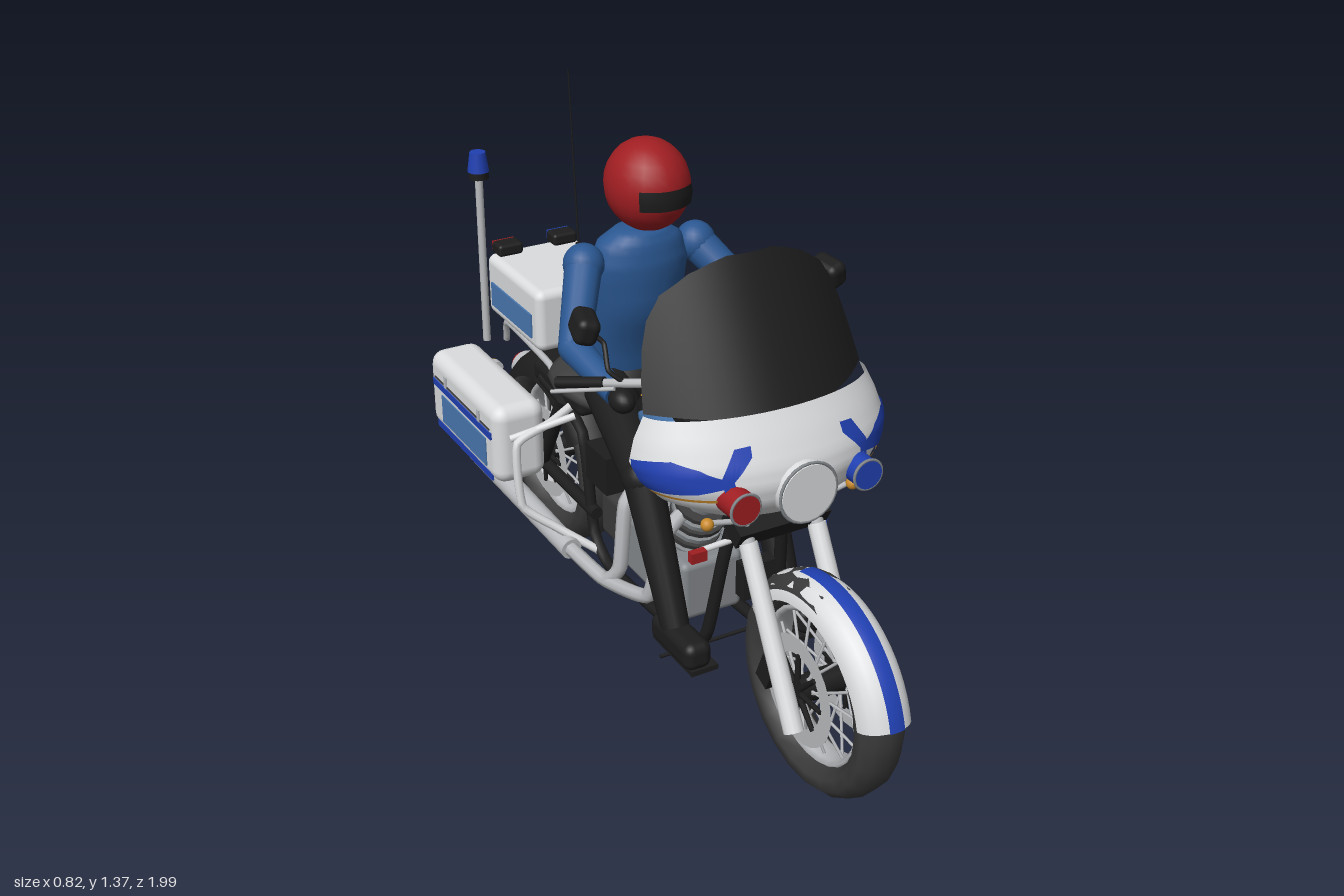
import * as THREE from 'three';
import { RoundedBoxGeometry } from 'three/addons/geometries/RoundedBoxGeometry.js';

const mat = (name, color) => new THREE.MeshStandardMaterial({ name, color, side: THREE.DoubleSide });
const white = mat('white paint', 0xdcdddf), black = mat('black', 0x1d1d1d), dark = mat('dark rubber', 0x3a3a3b);
const silver = mat('bright metal', 0xb9bbbe), grey = mat('engine metal', 0x85898d), red = mat('red', 0xa01e22);
const jacket = mat('jacket blue', 0x2a5791), panel = mat('panel blue', 0x4a78b0), blue = mat('signal blue', 0x2040b2);
const amber = mat('amber', 0xc98a2c);

const V = (p) => new THREE.Vector3(...p);
const mix = (a, b, t) => a + (b - a) * t;
const SIDES = [-1, 1];

// Interpolates between the rows of a small cross-section list
function rowAt(rows, t) {
  const f = Math.min(Math.max(t, 0), 1) * (rows.length - 1), i = Math.min(Math.floor(f), rows.length - 2);
  return rows[i].map((a, k) => mix(a, rows[i + 1][k], f - i));
}

// Surface from a rule fn(u, v) with u and v in 0..1
function grid(fn, nu, nv) {
  const pos = [], idx = [];
  for (let j = 0; j <= nv; j++) for (let i = 0; i <= nu; i++) pos.push(...fn(i / nu, j / nv));
  for (let j = 0; j < nv; j++) for (let i = 0; i < nu; i++) {
    const a = j * (nu + 1) + i, b = a + nu + 1;
    idx.push(a, a + 1, b, a + 1, b + 1, b);
  }
  const g = new THREE.BufferGeometry();
  g.setAttribute('position', new THREE.Float32BufferAttribute(pos, 3));
  g.setIndex(idx);
  g.computeVertexNormals();
  return g;
}

export function createModel() {
  const model = new THREE.Group();
  model.name = 'motorcycleWithRider';
  const add = (name, geo, m, p = [0, 0, 0], r = [0, 0, 0], parent = model) => {
    const o = new THREE.Mesh(geo, m);
    o.name = name; o.position.set(...p); o.rotation.set(...r);
    parent.add(o);
    return o;
  };
  const box = (name, m, size, p, r) => add(name, new THREE.BoxGeometry(...size), m, p, r);
  const soft = (name, m, size, p, rad = 0.02, r) => add(name, new RoundedBoxGeometry(...size, 3, rad), m, p, r);
  const ball = (name, m, p, rad, s = [1, 1, 1]) => {
    const o = add(name, new THREE.SphereGeometry(rad, 20, 14), m, p);
    o.scale.set(...s);
    return o;
  };
  const rod = (name, m, a, b, r1, r2 = r1, n = 12, parent = model) => {
    const A = V(a), B = V(b), d = B.clone().sub(A);
    const o = add(name, new THREE.CylinderGeometry(r2, r1, d.length(), n), m, A.clone().lerp(B, 0.5).toArray(), [0, 0, 0], parent);
    o.quaternion.setFromUnitVectors(new THREE.Vector3(0, 1, 0), d.normalize());
    return o;
  };
  const tube = (name, m, pts, r) => add(name, new THREE.TubeGeometry(
    new THREE.CatmullRomCurve3(pts.map(V), false, 'catmullrom', 0.25), pts.length * 6, r, 8), m);

  // Wheels, with brake discs on the listed sides
  function wheel(name, z, y, w, discSides) {
    const g = new THREE.Group();
    g.name = name; g.position.set(0, y, z);
    model.add(g);
    const turn = [0, Math.PI / 2, 0];
    add('tire', new THREE.TorusGeometry(0.236, 0.044, 10, 22), dark, [0, 0, 0], turn, g).scale.z = w / 0.044;
    add('rim', new THREE.TorusGeometry(0.193, 0.014, 8, 28), silver, [0, 0, 0], turn, g).scale.z = 2.6;
    rod('hub', black, [-0.07, 0, 0], [0.07, 0, 0], 0.035, 0.035, 14, g);
    for (let i = 0; i < 28; i++) {
      const a = i / 28 * Math.PI * 2, b = a + (i % 4 < 2 ? 0.35 : -0.35), x = i % 2 ? 0.05 : -0.05;
      rod('spoke', silver, [x, 0.03 * Math.sin(b), 0.03 * Math.cos(b)], [x * 0.2, 0.19 * Math.sin(a), 0.19 * Math.cos(a)], 0.004, 0.004, 5, g);
    }
    for (const s of discSides) {
      add('brakeDisc', new THREE.RingGeometry(0.095, 0.14, 28), silver, [s * 0.068, 0, 0], turn, g);
      for (let i = 0; i < 8; i++) {
        const a = i * Math.PI / 4;
        rod('discCarrier', black, [s * 0.07, 0.02 * Math.sin(a), 0.02 * Math.cos(a)], [s * 0.07, 0.1 * Math.sin(a), 0.1 * Math.cos(a)], 0.008, 0.006, 6, g);
      }
    }
  }
  wheel('frontWheel', 0.69, 0.29, 0.064, SIDES);
  wheel('rearWheel', -0.67, 0.285, 0.075, [-1]);

  // Fenders: arched bands swept around the wheels
  const fender = (z, y, R, w, drop, a0, a1, half = 1, off = 0) => grid((u, v) => {
    const t = (u * 2 - 1) * half * Math.PI / 2, a = mix(a0, a1, v) * Math.PI / 180;
    const r = R + off - drop * (1 - Math.cos(t));
    return [w * Math.sin(t), y + r * Math.sin(a), z + r * Math.cos(a)];
  }, 10, 22);
  add('frontFender', fender(0.7, 0.27, 0.3, 0.068, 0.06, 14, 150), white);
  add('frontFenderStripe', fender(0.7, 0.27, 0.3, 0.068, 0.06, 14, 108, 0.19, 0.004), blue);
  add('rearFender', fender(-0.67, 0.28, 0.3, 0.092, 0.07, 30, 186), black);

  // Front fork and steering
  for (const s of SIDES) {
    rod('forkLeg', white, [s * 0.095, 0.2, 0.72], [s * 0.095, 0.6, 0.5], 0.025, 0.023);
    rod('forkTube', silver, [s * 0.095, 0.58, 0.51], [s * 0.095, 0.88, 0.36], 0.018);
    box('brakeCaliper', black, [0.03, 0.08, 0.05], [s * 0.09, 0.3, 0.6], [0.4, 0, 0]);
    tube('handlebar', silver, [[s * 0.04, 0.86, 0.4], [s * 0.15, 0.95, 0.33], [s * 0.27, 0.95, 0.25], [s * 0.33, 0.93, 0.17]], 0.011);
    rod('grip', black, [s * 0.31, 0.94, 0.2], [s * 0.38, 0.91, 0.09], 0.014);
    rod('lever', silver, [s * 0.31, 0.945, 0.25], [s * 0.405, 0.9, 0.11], 0.005);
    tube('mirrorStalk', black, [[s * 0.28, 0.95, 0.24], [s * 0.31, 0.98, 0.22], [s * 0.3, 1.03, 0.18], [s * 0.33, 1.06, 0.16]], 0.006);
    soft('mirror', black, [0.058, 0.068, 0.09], [s * 0.335, 1.07, 0.152], 0.02, [0.15, s * 0.25, s * 0.25]);
  }
  box('forkYoke', black, [0.25, 0.05, 0.08], [0, 0.63, 0.47], [0.5, 0, 0]);
  rod('steeringHead', black, [0, 0.6, 0.47], [0, 0.88, 0.34], 0.035);

  // Fairing rows: height, half width, centre z, edge z
  const fairRows = [[0.675, 0.1, 0.5, 0.42], [0.69, 0.2, 0.545, 0.41], [0.735, 0.28, 0.58, 0.4], [0.785, 0.32, 0.59, 0.38],
    [0.83, 0.335, 0.58, 0.365], [0.885, 0.32, 0.55, 0.36], [0.94, 0.295, 0.515, 0.36]];
  const fairAt = (u, v, off = 0) => {
    const [y, w, zc, ze] = rowAt(fairRows, v), t = u * Math.PI / 2;
    return [(w + off) * Math.sin(t), y - 0.02 * v * u * u, ze + (zc - ze + off) * Math.cos(t) + off * 0.3];
  };
  add('fairing', grid((u, v) => fairAt(u * 2 - 1, v), 28, 18), white);
  add('fairingLining', grid((u, v) => fairAt(u * 2 - 1, v * 0.7, -0.01), 28, 14), black);
  const fairPatch = (name, m, u0, u1, lo, hi) => {
    for (const s of SIDES) add(name, grid((u, v) =>
      fairAt(s * mix(u0, u1, u), mix(rowAt(lo, u)[0], rowAt(hi, u)[0], v), 0.004), 16, 5), m);
  };
  fairPatch('fairingFlash', blue, 0.34, 0.97, [[0.56], [0.49], [0.46], [0.44]], [[0.6], [0.7], [0.75], [0.73], [0.7]]);
  fairPatch('fairingRay', blue, 0.24, 0.4, [[0.76], [0.5]], [[0.83], [0.82], [0.62]]);
  fairPatch('fairingPinstripe', amber, 0.4, 0.95, [[0.41], [0.41]], [[0.435], [0.435]]);
  box('dashboard', black, [0.4, 0.03, 0.1], [0, 0.88, 0.38], [0.2, 0, 0]);

  // Windshield rows: height, half width
  const glassRows = [[0.925, 0.295], [0.99, 0.285], [1.06, 0.27], [1.12, 0.25], [1.175, 0.215], [1.22, 0.15], [1.24, 0.1], [1.252, 0.06]];
  add('windshield', grid((u, v) => {
    const [y, w] = rowAt(glassRows, v), x = (u * 2 - 1) * w;
    return [x, y, 0.515 - (y - 0.925) * 0.56 - 0.155 * (x / 0.295) ** 2];
  }, 18, 21), black);

  // Lamps
  const lamp = (name, m, x, y, z, r) => {
    rod(name, m, [x, y, z - 0.08], [x, y, z], r, r * 0.95, 20);
    add(name + 'Bezel', new THREE.TorusGeometry(r, 0.004, 6, 24), grey, [x, y, z - 0.004]);
  };
  lamp('headlight', white, 0, 0.76, 0.608, 0.076);
  lamp('redLamp', red, -0.165, 0.76, 0.605, 0.038);
  lamp('blueLamp', blue, 0.165, 0.76, 0.605, 0.038);
  for (const s of SIDES) {
    rod('turnSignalArm', silver, [s * 0.1, 0.65, 0.48], [s * 0.2, 0.672, 0.48], 0.007);
    ball('turnSignal', amber, [s * 0.2, 0.674, 0.49], 0.016);
    box('strobe', s < 0 ? red : blue, [0.042, 0.028, 0.02], [s * 0.17, 0.53, 0.395]);
    rod('strobeArm', white, [s * 0.06, 0.54, 0.385], [s * 0.18, 0.53, 0.38], 0.008);
  }

  // Tank rows: z, centre height, half width, half height
  const tankRows = [[0.33, 0.78, 0.02, 0.015], [0.29, 0.78, 0.08, 0.045], [0.2, 0.765, 0.118, 0.068], [0.1, 0.745, 0.125, 0.076],
    [0, 0.715, 0.112, 0.07], [-0.08, 0.69, 0.08, 0.052], [-0.14, 0.67, 0.04, 0.03]];
  const tankAt = (a, t, off = 0) => {
    const [z, y, rx, ry] = rowAt(tankRows, t);
    return [(rx + off) * Math.cos(a), y + (ry + off) * Math.sin(a), z];
  };
  add('tank', grid((u, v) => tankAt(u * Math.PI * 2, v), 24, 18), black);
  add('tankTopStripe', grid((u, v) => tankAt(Math.PI / 2 + (u - 0.5) * 0.36, mix(0.22, 0.58, v), 0.004), 4, 10), silver);
  for (const s of SIDES) {
    const side = (a) => (s > 0 ? a : Math.PI - a);
    add('tankFlash', grid((u, v) => tankAt(side(mix(-0.4, 0.1, u) + 0.35 * Math.sin(v * Math.PI) * u), mix(0.26, 0.68, v), 0.004), 6, 14), panel);
    add('tankPinstripe', grid((u, v) => tankAt(side(mix(0.62, 0.7, u)), mix(0.3, 0.85, v), 0.004), 2, 14), amber);
    rod('fuelCap', silver, [s * 0.07, 0.81, 0.16], [s * 0.07, 0.826, 0.165], 0.024);
  }

  // Seat rows: z, centre height, half width, half height
  const seatRows = [[-0.08, 0.65, 0.05, 0.015], [-0.18, 0.625, 0.09, 0.035], [-0.29, 0.625, 0.14, 0.045], [-0.38, 0.637, 0.17, 0.055],
    [-0.44, 0.648, 0.16, 0.054], [-0.47, 0.657, 0.13, 0.04], [-0.48, 0.66, 0.02, 0.01]];
  add('seat', grid((u, v) => {
    const [z, y, rx, ry] = rowAt(seatRows, v), a = u * Math.PI * 2;
    return [rx * Math.cos(a), y + ry * Math.sin(a), z];
  }, 20, 18), dark);
  soft('rearSeatBase', black, [0.22, 0.06, 0.3], [0, 0.57, -0.5]);

  // Frame
  rod('backbone', black, [0, 0.76, 0.4], [0, 0.53, -0.3], 0.026);
  for (const s of SIDES) {
    tube('frameCradle', black, [[s * 0.03, 0.76, 0.4], [s * 0.08, 0.5, 0.37], [s * 0.1, 0.24, 0.32], [s * 0.1, 0.17, 0.22], [s * 0.1, 0.15, -0.2], [s * 0.1, 0.22, -0.3], [s * 0.1, 0.5, -0.36], [s * 0.1, 0.56, -0.6]], 0.016);
    rod('swingArm', black, [s * 0.1, 0.28, -0.28], [s * 0.1, 0.285, -0.7], 0.018);
    rod('shockAbsorber', black, [s * 0.11, 0.3, -0.6], [s * 0.11, 0.56, -0.45], 0.02);
    box('footboard', black, [0.075, 0.014, 0.2], [s * 0.15, 0.195, 0.3]);
    tube('crashBar', white, [[s * 0.1, 0.55, -0.42], [s * 0.18, 0.53, -0.39], [s * 0.28, 0.49, -0.39], [s * 0.28, 0.31, -0.37], [s * 0.2, 0.24, -0.33], [s * 0.1, 0.17, -0.26]], 0.012);
    rod('grabRail', white, [s * 0.12, 0.55, -0.36], [s * 0.29, 0.5, -0.41], 0.01);
  }
  rod('axlePeg', black, [-0.21, 0.185, 0.28], [0.21, 0.185, 0.28], 0.005);
  box('regulator', black, [0.09, 0.095, 0.04], [0, 0.415, 0.385]);
  rod('kickstand', black, [0.11, 0.17, 0.27], [0.155, 0.1, -0.16], 0.009);
  box('kickstandFoot', black, [0.03, 0.03, 0.04], [0.155, 0.095, -0.16]);

  // Engine: crankcase, primary cover and two finned cylinders
  soft('crankcase', grey, [0.18, 0.17, 0.36], [0, 0.27, 0]);
  soft('gearbox', dark, [0.16, 0.14, 0.2], [0, 0.28, -0.2]);
  for (const [z, r] of [[0.11, 0.055], [-0.15, 0.078]]) rod('primaryCoverEnd', grey, [0.08, 0.265, z], [0.135, 0.265, z], r, r * 0.92, 24);
  box('primaryCover', grey, [0.05, 0.12, 0.26], [0.105, 0.265, -0.02]);
  rod('clutchCover', grey, [0.13, 0.265, -0.14], [0.142, 0.265, -0.14], 0.05, 0.045, 20);
  for (const d of SIDES) {
    const at = (t) => [0, 0.33 + 0.2 * t, 0.02 + d * (0.02 + 0.1 * t)];
    rod('cylinder', grey, at(0), at(1), 0.05);
    for (let i = 0; i < 6; i++) rod('coolingFin', i % 2 ? dark : grey, at(0.2 + i * 0.12), at(0.26 + i * 0.12), 0.074, 0.074, 16);
    rod('cylinderHead', grey, at(0.95), at(1.1), 0.06);
    tube('exhaustHeader', silver, [[-0.05, 0.48, 0.02 + d * 0.1], [-0.13, 0.44, 0.05 + d * 0.1], [-0.15, 0.25, 0.03 + d * 0.08], [-0.17, 0.19, -0.1], [-0.18, 0.19, -0.3]], 0.02);
  }
  rod('airCleaner', black, [0.21, 0.413, -0.11], [0.21, 0.413, -0.03], 0.045, 0.045, 18);
  rod('airCleanerCap', silver, [0.05, 0.42, -0.07], [0.258, 0.42, -0.07], 0.05, 0.045, 20);
  box('batteryBox', black, [0.24, 0.11, 0.12], [0, 0.445, -0.24]);
  rod('muffler', silver, [-0.18, 0.19, -0.28], [-0.18, 0.2, -0.9], 0.03, 0.034, 16);
  rod('rearSprocket', black, [0.085, 0.285, -0.67], [0.1, 0.285, -0.67], 0.085, 0.085, 24);
  rod('rearAxleNut', grey, [0.1, 0.285, -0.67], [0.115, 0.285, -0.67], 0.022);
  for (const s of SIDES) rod('driveBelt', black, [0.1, 0.28 + s * 0.05, -0.18], [0.1, 0.285 + s * 0.082, -0.67], 0.006, 0.006, 6);

  // Saddlebags with side panels and rear lights
  for (const s of SIDES) {
    soft('saddlebag', white, [0.155, 0.235, 0.47], [s * 0.234, 0.444, -0.693], 0.04);
    box('saddlebagPanel', panel, [0.006, 0.085, 0.305], [s * 0.312, 0.41, -0.68]);
    box('saddlebagUpperStripe', blue, [0.006, 0.02, 0.4], [s * 0.312, 0.475, -0.69]);
    box('saddlebagLowerStripe', blue, [0.006, 0.02, 0.38], [s * 0.308, 0.343, -0.69]);
    box('lidSeam', dark, [0.004, 0.005, 0.38], [s * 0.312, 0.492, -0.69]);
    for (const z of [-0.57, -0.8]) box('latch', silver, [0.008, 0.035, 0.015], [s * 0.312, 0.505, z]);
    box('saddlebagTailLight', red, [0.06, 0.05, 0.008], [s * 0.235, 0.45, -0.929]);
    box('saddlebagIndicator', amber, [0.05, 0.022, 0.008], [s * 0.235, 0.375, -0.929]);
    rod('rearTurnSignal', silver, [s * 0.1, 0.45, -0.92], [s * 0.1, 0.45, -0.945], 0.02);
    rod('rearTurnSignalLens', amber, [s * 0.1, 0.45, -0.945], [s * 0.1, 0.45, -0.953], 0.018);
  }

  // Top case, rack and equipment
  soft('topCase', white, [0.28, 0.18, 0.34], [0, 0.755, -0.7], 0.025);
  for (const s of SIDES) {
    box('topCasePanel', panel, [0.006, 0.07, 0.26], [s * 0.142, 0.735, -0.7]);
    tube('rack', silver, [[s * 0.1, 0.57, -0.5], [s * 0.11, 0.63, -0.53], [s * 0.11, 0.65, -0.8], [s * 0.1, 0.58, -0.84]], 0.01);
    soft('flasherHousing', black, [0.075, 0.035, 0.055], [s * 0.085, 0.862, -0.838], 0.01);
    box('flasherLens', s < 0 ? red : blue, [0.065, 0.025, 0.008], [s * 0.085, 0.863, -0.868]);
  }
  box('topCaseRearPanel', panel, [0.24, 0.07, 0.006], [0, 0.735, -0.872]);
  rod('antennaBase', black, [0.09, 0.845, -0.74], [0.09, 0.875, -0.74], 0.014, 0.008);
  rod('antenna', black, [0.09, 0.86, -0.74], [0.094, 1.365, -0.785], 0.003, 0.002, 6);
  rod('beaconPole', silver, [-0.17, 0.6, -0.82], [-0.17, 1.1, -0.82], 0.011);
  rod('beaconBase', black, [-0.17, 1.09, -0.82], [-0.17, 1.11, -0.82], 0.028);
  rod('beacon', blue, [-0.17, 1.11, -0.82], [-0.17, 1.165, -0.82], 0.03, 0.022);

  // Tail light and plate
  rod('tailLightHousing', silver, [0, 0.43, -0.9], [0, 0.43, -0.94], 0.046, 0.046, 18);
  rod('tailLight', red, [0, 0.43, -0.93], [0, 0.43, -0.962], 0.042, 0.034, 18);
  box('plateHolder', black, [0.15, 0.11, 0.012], [0, 0.285, -0.974], [0.12, 0, 0]);
  box('plate', white, [0.15, 0.105, 0.006], [0, 0.285, -0.983], [0.12, 0, 0]);

  // Rider torso rows: height, centre z, half width, half depth
  const bodyRows = [[0.7, -0.275, 0.1, 0.075], [0.8, -0.262, 0.115, 0.085], [0.92, -0.23, 0.125, 0.1], [1.04, -0.21, 0.135, 0.09],
    [1.1, -0.205, 0.115, 0.075], [1.13, -0.2, 0.07, 0.055], [1.142, -0.2, 0, 0]];
  add('torso', grid((u, v) => {
    const [y, z, rx, rz] = rowAt(bodyRows, v), a = -u * Math.PI * 2;
    return [rx * Math.cos(a), y, z + rz * Math.sin(a)];
  }, 24, 18), jacket);
  ball('helmet', red, [0, 1.257, -0.16], 0.117, [0.91, 1, 1.03]);
  add('visor', grid((u, v) => {
    const a = mix(-0.72, 0.72, u), y = mix(-0.03, 0.022, v), r = 0.118 * Math.sqrt(1 - (y / 0.117) ** 2);
    return [r * 0.95 * Math.sin(a), 1.255 + y, -0.16 + (r + 0.01) * Math.cos(a)];
  }, 12, 3), black);
  ball('hips', black, [0, 0.69, -0.26], 0.1, [1.3, 0.7, 0.9]);
  for (const s of SIDES) {
    const shoulder = [s * 0.16, 1.06, -0.2], elbow = [s * 0.265, 0.915, -0.05], wrist = [s * 0.25, 0.868, 0.14];
    ball('shoulder', jacket, shoulder, 0.053);
    rod('upperArm', jacket, shoulder, elbow, 0.048, 0.04, 16);
    ball('elbow', jacket, elbow, 0.04);
    rod('forearm', jacket, elbow, wrist, 0.04, 0.03, 16);
    ball('glove', black, [s * 0.25, 0.865, 0.17], 0.034, [0.9, 0.9, 1.2]);
    const hip = [s * 0.08, 0.68, -0.23], knee = [s * 0.165, 0.605, 0.11], ankle = [s * 0.165, 0.25, 0.28];
    rod('thigh', black, hip, knee, 0.068, 0.052, 16);
    ball('knee', black, knee, 0.053);
    rod('shin', black, knee, ankle, 0.05, 0.036, 16);
    soft('boot', black, [0.075, 0.075, 0.2], [s * 0.165, 0.237, 0.305], 0.025);
  }
  return model;
}
